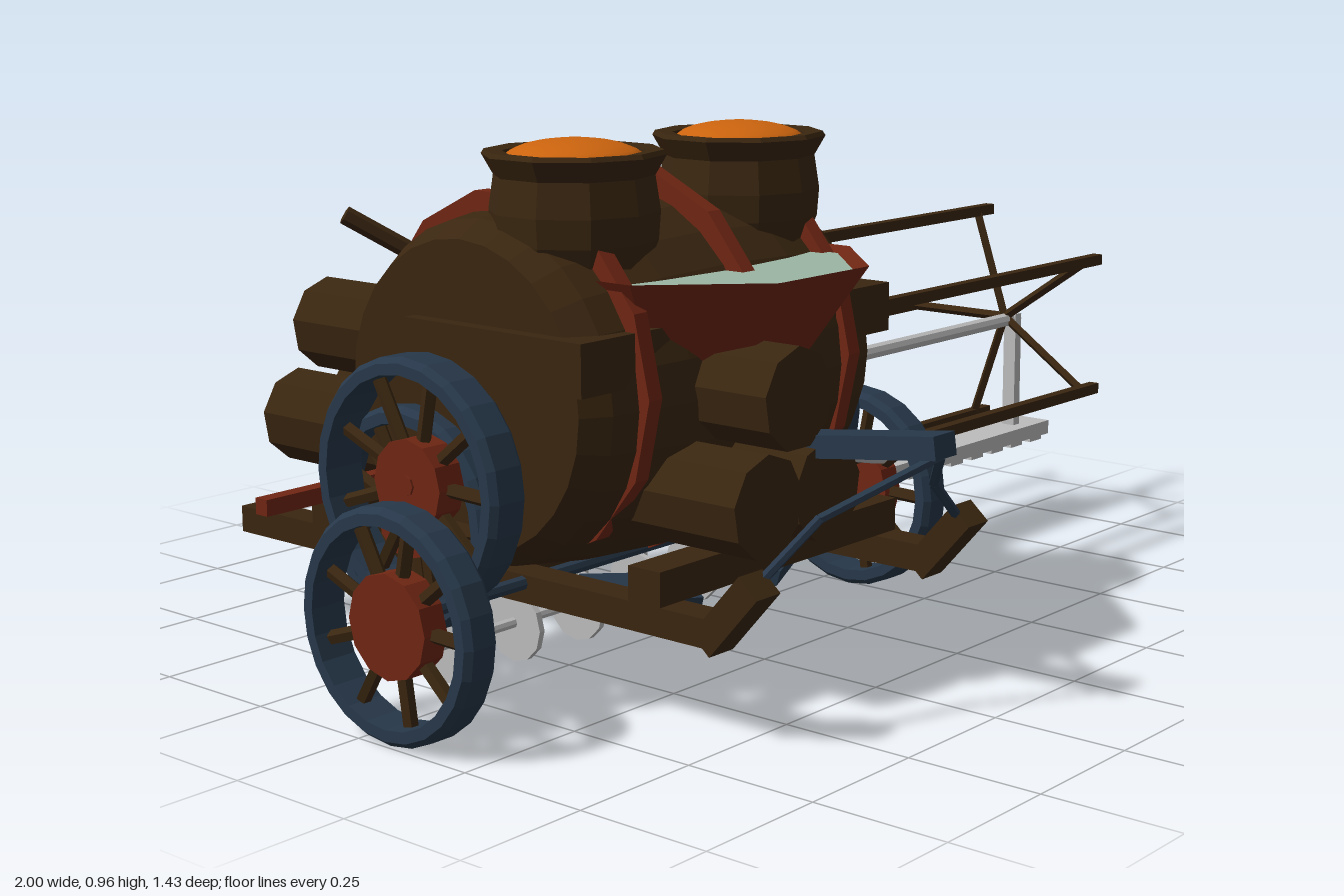
import * as THREE from 'three';

const paint = (name, color) => {
  const m = new THREE.MeshStandardMaterial({ color });
  m.name = name;
  return m;
};
const V = (x, y, z) => new THREE.Vector3(x, y, z);

export function createModel() {
  const root = new THREE.Group();
  root.name = 'harvestWagon';
  const wood = paint('dark wood', 0x3a2610);
  const red = paint('rust red', 0x702613);
  const blue = paint('slate blue', 0x27384a);
  const steel = paint('light steel', 0xbdbdbd);
  const orange = paint('orange', 0xcc640e);
  const glass = paint('pale green', 0x9ab5a4);
  red.side = THREE.DoubleSide;

  // Faceted mesh; smooth = true keeps shared normals
  function add(name, geo, mat, pos = [0, 0, 0], rot = [0, 0, 0], parent = root, smooth = false) {
    let g = geo;
    if (!smooth) {
      if (g.index) g = g.toNonIndexed();
      g.computeVertexNormals();
    }
    const m = new THREE.Mesh(g, mat);
    m.name = name;
    m.position.set(...pos);
    m.rotation.set(...rot);
    parent.add(m);
    return m;
  }
  const box = (name, mat, size, pos, rot, parent) =>
    add(name, new THREE.BoxGeometry(...size), mat, pos, rot, parent);
  // Round or square rod between two points
  function rod(name, mat, a, b, r, sides = 8, parent = root) {
    const d = b.clone().sub(a);
    const m = add(name, new THREE.CylinderGeometry(r, r, d.length(), sides), mat, [0, 0, 0], [0, 0, 0], parent);
    m.position.copy(a).add(b).multiplyScalar(0.5);
    m.quaternion.setFromUnitVectors(V(0, 1, 0), d.normalize());
    return m;
  }
  const lathe = (pts, n) => new THREE.LatheGeometry(pts.map(p => new THREE.Vector2(...p)), n);
  const side = [0, 0, -Math.PI / 2];
  const MID = -0.35;

  // Barrel lying along x, with three hoops
  add('barrel', lathe([[0, -0.39], [0.27, -0.39], [0.3, -0.34], [0.325, -0.17], [0.335, 0],
    [0.325, 0.17], [0.3, 0.34], [0.27, 0.39], [0, 0.39]], 28), wood, [MID, 0.53, -0.01], side);
  for (const [dx, r] of [[-0.27, 0.325], [0, 0.355], [0.27, 0.325]])
    add('barrelHoop', lathe([[r - 0.04, -0.016], [r, -0.016], [r, 0.016], [r - 0.04, 0.016]], 14),
      red, [MID + dx, 0.55, -0.005], side);

  // Deck box around the barrel
  box('deckBox', wood, [0.83, 0.09, 0.41], [MID, 0.615, 0.085]);

  // Two jars with glowing contents
  for (const x of [-0.565, -0.13]) {
    add('jar', lathe([[0, 0.62], [0.07, 0.66], [0.115, 0.72], [0.143, 0.79], [0.147, 0.84],
      [0.138, 0.9], [0.158, 0.935], [0.153, 0.943], [0.122, 0.94], [0.115, 0.9], [0, 0.9]], 10), wood, [x, 0, 0.09]);
    const dome = add('jarContents', new THREE.SphereGeometry(0.122, 16, 6, 0, Math.PI * 2, 0, Math.PI / 2),
      orange, [x, 0.925, 0.09], [0, 0, 0], root, true);
    dome.scale.y = 0.3;
  }

  // Octagonal hopper with its filling
  add('hopper', new THREE.CylinderGeometry(0.32, 0.06, 0.37, 8, 1, true), red, [MID, 0.555, 0.165], [0, Math.PI / 8, 0]);
  add('hopperFill', new THREE.CylinderGeometry(0.295, 0.29, 0.008, 8), glass, [MID, 0.725, 0.165], [0, Math.PI / 8, 0]);
  add('hopperSpout', new THREE.CylinderGeometry(0.06, 0.05, 0.08, 8), red, [MID, 0.34, 0.165]);

  // Logs running front to back
  for (const [x, y] of [[-0.425, 0.54], [-0.505, 0.37], [-0.345, 0.37]])
    rod('log', wood, V(x, y, 0.465), V(x, y, -0.715), 0.09, 9);

  // Chassis rails with upturned tips, and cross beams
  for (const s of [-1, 1]) {
    const x = MID + s * 0.295;
    box('rail', wood, [0.06, 0.05, 1.17], [x, 0.195, -0.105]);
    box('railTip', wood, [0.06, 0.05, 0.15], [x, 0.23, 0.51], [-0.85, 0, 0]);
    // Draw-bar arms
    const a = [V(x, 0.27, 0.54), V(MID + s * 0.16, 0.37, 0.575), V(MID, 0.465, 0.7)];
    rod('drawArm', blue, a[0], a[1], 0.009, 6);
    rod('drawArm', blue, a[1], a[2], 0.009, 6);
  }
  box('frontBeam', wood, [0.65, 0.06, 0.07], [MID, 0.25, 0.34]);
  box('rearBeam', wood, [0.7, 0.06, 0.06], [MID, 0.24, -0.425]);
  box('tongue', blue, [0.06, 0.04, 0.5], [MID, 0.45, 0.46], [-0.13, 0, 0]);
  for (const s of [-1, 1])
    box('ploughBlade', blue, [0.2, 0.03, 0.09], [MID + s * 0.18, 0.18, 0.2], [0.3, s * 0.4, 0]);

  // Spoked wheel, axle along x
  function wheel(name, x, y, z, R, w, hub, spokes = 9) {
    const g = new THREE.Group();
    g.name = name;
    g.position.set(x, y, z);
    root.add(g);
    const h = w / 2, t = 0.03;
    add('tyre', lathe([[R - t, -h], [R - 0.01, -h], [R, -h + 0.012], [R, h - 0.012],
      [R - 0.01, h], [R - t, h], [R - t, -h]], 24), blue, [0, 0, 0], side, g);
    add('hub', new THREE.CylinderGeometry(hub, hub, w * 0.7, 12), red, [0, 0, 0], side, g);
    for (let i = 0; i < spokes; i++) {
      const a = i / spokes * Math.PI * 2 + 0.2, c = Math.cos(a), s = Math.sin(a);
      rod('spoke', wood, V(0, c * hub * 0.8, s * hub * 0.8), V(0, c * (R - 0.02), s * (R - 0.02)), 0.013, 5, g);
    }
  }
  for (const s of [-1, 1]) {
    wheel('frontWheel', MID + s * 0.618, 0.202, 0.067, 0.2, 0.07, 0.09);
    wheel('bigWheel', MID + s * 0.458, 0.39, -0.048, 0.22, 0.08, 0.08);
    wheel('innerWheel', MID + s * 0.4, 0.305, -0.125, 0.2, 0.06, 0.07);
  }
  wheel('pulleyWheel', 0.03, 0.31, -0.315, 0.13, 0.06, 0.08, 5);
  rod('frontAxle', blue, V(-0.98, 0.205, 0.06), V(0.28, 0.205, 0.06), 0.013);
  rod('mainAxle', red, V(-0.84, 0.39, -0.048), V(0.14, 0.39, -0.048), 0.018);
  box('rearAxle', red, [1.07, 0.03, 0.03], [MID, 0.31, -0.37]);

  // Disc harrow under the chassis
  rod('discAxle', steel, V(-0.78, 0.095, -0.045), V(0.08, 0.095, -0.045), 0.01);
  for (let i = 0; i < 6; i++) {
    const x = -0.75 + i * 0.161;
    add('disc', new THREE.CylinderGeometry(0.066, 0.066, 0.012, 12), steel, [x, 0.09, -0.045], side);
    box('discHanger', steel, [0.014, 0.1, 0.014], [x + 0.015, 0.14, -0.045]);
  }
  box('discBeam', wood, [0.74, 0.035, 0.04], [MID, 0.19, -0.045]);

  // Five-bar reel with shaft and end spokes
  for (let i = 0; i < 5; i++) {
    const a = i * Math.PI * 2 / 5;
    const y = 0.455 + 0.24 * Math.sin(a), z = 0.005 - 0.25 * Math.cos(a);
    box('reelBar', wood, [0.88, 0.022, 0.022], [0.5, y, z]);
    rod('reelSpoke', wood, V(0.89, 0.455, 0.005), V(0.89, y, z), 0.01, 4);
  }
  rod('reelShaft', steel, V(0.0, 0.448, 0.008), V(0.93, 0.448, 0.008), 0.015);
  box('reelPost', steel, [0.022, 0.27, 0.03], [0.915, 0.325, 0.01]);

  // Cutter bar with teeth
  box('cutterBar', steel, [0.96, 0.03, 0.095], [0.52, 0.195, 0.008]);
  for (let i = 0; i < 12; i++)
    box('cutterTooth', steel, [0.045, 0.012, 0.07], [0.11 + i * 0.077, 0.176, 0.015]);

  // Discharge chute
  rod('chute', steel, V(-0.33, 0.44, 0.44), V(0.15, 0.31, 0.21), 0.024, 8);

  // Bent lever behind the barrel
  const lever = [V(-0.33, 0.45, -0.33), V(-0.33, 0.66, -0.5), V(-0.47, 0.765, -0.605)];
  rod('lever', wood, lever[0], lever[1], 0.016, 6);
  rod('leverHandle', wood, lever[1], lever[2], 0.018, 6);

  return root;
}
